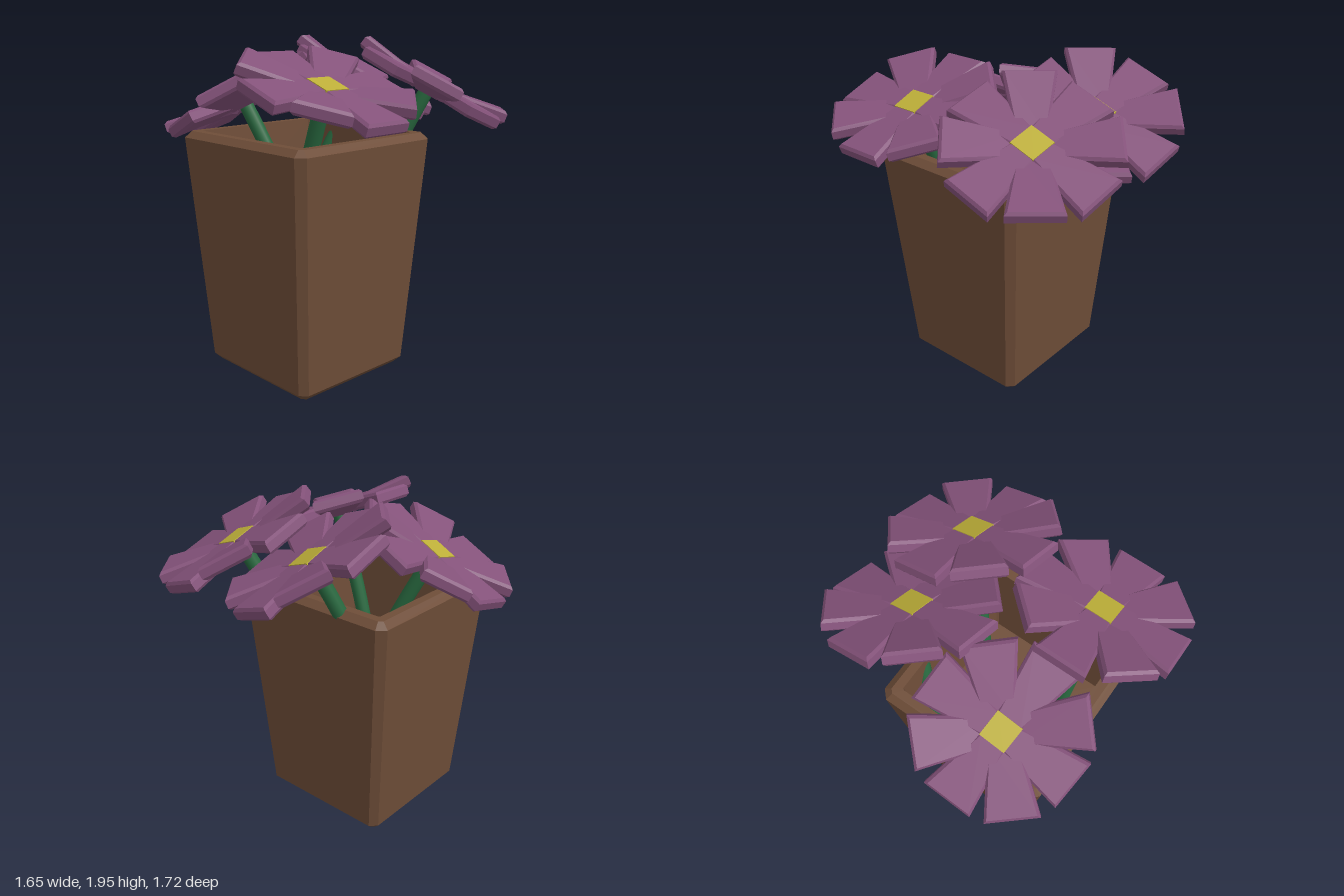
import * as THREE from 'three';

const deg = THREE.MathUtils.degToRad;
const paint = (color, opts = {}) => new THREE.MeshStandardMaterial({ color, ...opts });
const clay = paint(0x6e4d38, { flatShading: true });
const purple = paint(0x84527a, { flatShading: true });
const yellow = paint(0xbcae38, { flatShading: true });
const green = paint(0x28683f);

function add(parent, name, geometry, material) {
  const mesh = new THREE.Mesh(geometry, material);
  mesh.name = name;
  parent.add(mesh);
  return mesh;
}

// Rectangular ring with cut corners, counter-clockwise seen from above
function ring([hx, hz, y, c]) {
  return [
    [hx, hz - c], [hx, -hz + c], [hx - c, -hz], [-hx + c, -hz],
    [-hx, -hz + c], [-hx, hz - c], [-hx + c, hz], [hx - c, hz],
  ].map(([x, z]) => [x, y, z]);
}

// Skin over a list of rings from the outer bottom, over the rim, to the inner floor
function potGeometry(sections) {
  const rings = sections.map(ring);
  const pos = [];
  for (let k = 0; k < rings.length - 1; k++) {
    for (let i = 0; i < 8; i++) {
      const j = (i + 1) % 8;
      const [a, b, c, d] = [rings[k][i], rings[k][j], rings[k + 1][j], rings[k + 1][i]];
      pos.push(...a, ...b, ...c, ...a, ...c, ...d);
    }
  }
  const floor = rings[rings.length - 1], base = rings[0];
  for (let i = 1; i < 7; i++) {
    pos.push(...base[0], ...base[i + 1], ...base[i]);
    pos.push(...floor[0], ...floor[i], ...floor[i + 1]);
  }
  const g = new THREE.BufferGeometry();
  g.setAttribute('position', new THREE.Float32BufferAttribute(pos, 3));
  g.computeVertexNormals();
  return g;
}

// Bevelled wedge petal pointing along +x, top face at y = 0
function petalGeometry(inner, outer, w0, w1, thick) {
  const b = 0.015;
  const shape = new THREE.Shape([
    new THREE.Vector2(inner, -w0), new THREE.Vector2(outer, -w1),
    new THREE.Vector2(outer, w1), new THREE.Vector2(inner, w0),
  ]);
  const g = new THREE.ExtrudeGeometry(shape, {
    depth: thick - 2 * b, bevelEnabled: true, bevelThickness: b,
    bevelSize: b, bevelOffset: -b, bevelSegments: 1,
  });
  return g.translate(0, 0, b - thick).rotateX(-Math.PI / 2);
}

const petal = petalGeometry(0.06, 0.455, 0.08, 0.145, 0.075);
const heart = new THREE.BoxGeometry(0.155, 0.07, 0.155).translate(0, -0.031, 0);

function makeFlower(name, { at, tiltX, tiltZ, foot }) {
  const plant = new THREE.Group();
  plant.name = name;

  // Flower head: four flat petals and four raised ones between them
  const head = new THREE.Group();
  head.name = 'flowerHead';
  head.position.set(...at);
  head.rotation.set(deg(tiltX), 0, deg(tiltZ));
  plant.add(head);
  for (let i = 0; i < 8; i++) {
    const raised = i % 2 === 1;
    const p = add(head, raised ? 'raisedPetal' : 'flatPetal', petal, purple);
    p.rotation.set(0, i * Math.PI / 4, raised ? deg(9) : 0);
    p.position.y = raised ? -0.025 : 0;
  }
  add(head, 'flowerCentre', heart, yellow);

  // Stem leaves the head along its axis and bends down to the soil
  const top = new THREE.Vector3(...at);
  const axis = new THREE.Vector3(0, 1, 0).applyEuler(head.rotation);
  const curve = new THREE.CubicBezierCurve3(
    top.clone().addScaledVector(axis, -0.04),
    top.clone().addScaledVector(axis, -0.35),
    top.clone().addScaledVector(axis, -0.65),
    new THREE.Vector3(...foot),
  );
  add(plant, 'stem', new THREE.TubeGeometry(curve, 16, 0.043, 14), green);
  return plant;
}

export function createModel() {
  const model = new THREE.Group();
  model.name = 'flowerPot';

  // Tapered square pot: half width, half depth, height, corner cut
  const pot = add(model, 'pot', potGeometry([
    [0.39, 0.375, 0, 0.02],
    [0.43, 0.415, 0.04, 0.04],
    [0.525, 0.505, 1.375, 0.045],
    [0.485, 0.465, 1.41, 0.02],
    [0.435, 0.415, 1.41, 0.01],
    [0.395, 0.375, 0.8, 0.01],
  ]), clay);
  pot.position.set(-0.05, 0, 0.16);

  // Four flowers leaning outwards
  const flowers = {
    frontLeftFlower: { at: [0.4, 1.72, 0.41], tiltX: 0, tiltZ: -20, foot: [0.1, 0.78, 0.4] },
    backLeftFlower: { at: [0.4, 1.7, -0.42], tiltX: -20, tiltZ: -20, foot: [0.1, 0.78, -0.13] },
    backRightFlower: { at: [-0.14, 1.7, -0.42], tiltX: -20, tiltZ: -20, foot: [-0.4, 0.78, -0.13] },
    frontRightFlower: { at: [-0.42, 1.61, 0.34], tiltX: 14, tiltZ: 25, foot: [-0.07, 0.78, 0.18] },
  };
  for (const [name, spec] of Object.entries(flowers)) model.add(makeFlower(name, spec));

  return model;
}
